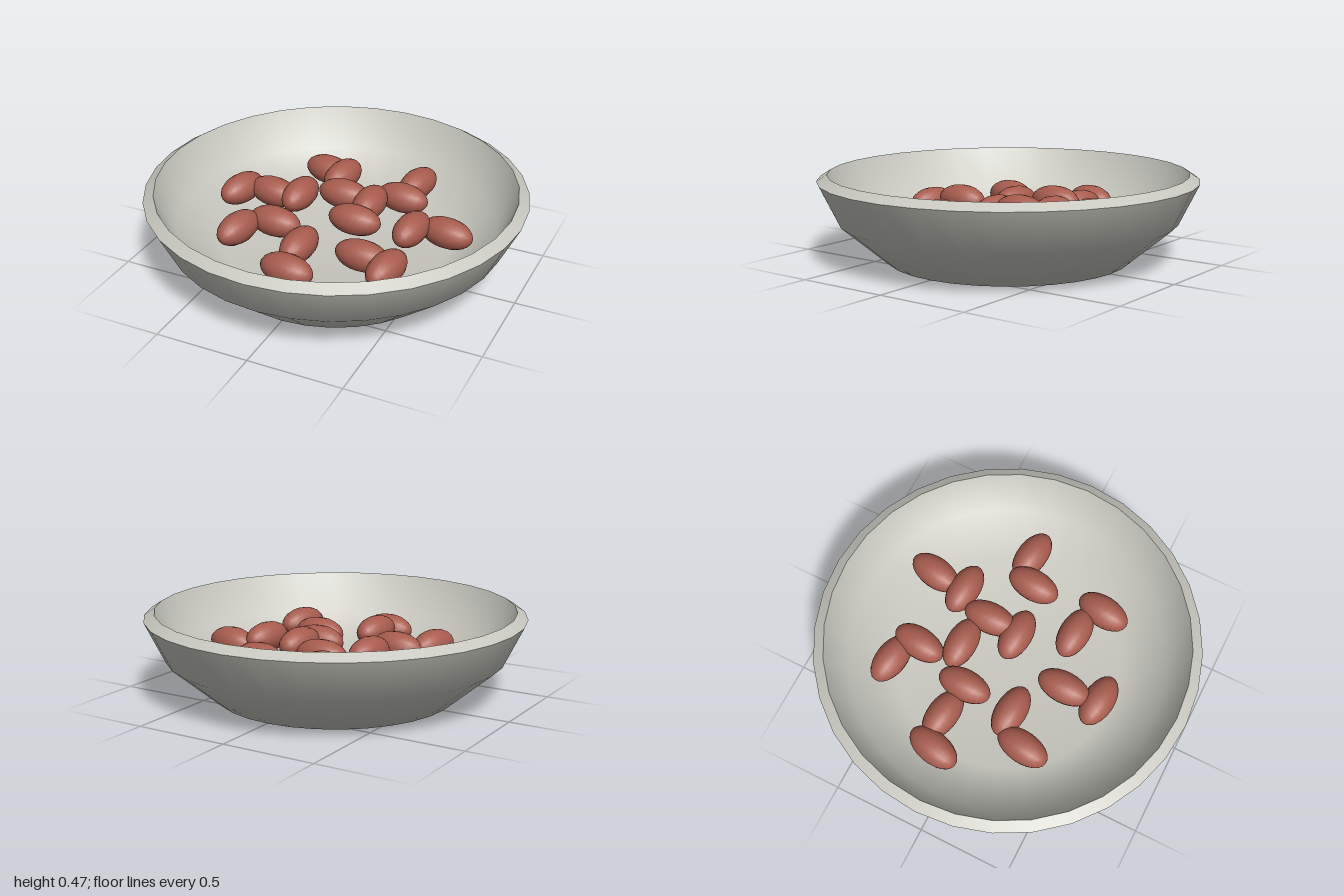
import * as THREE from 'three';

const ceramic = new THREE.MeshStandardMaterial({ color: 0xc8c8c0 });
ceramic.name = 'pale ceramic';
const beanRed = new THREE.MeshStandardMaterial({ color: 0xa85c4e });
beanRed.name = 'bean red';

// Each bean: x, y, z, turn about the vertical in degrees
const BEANS = [
  [-0.63, 0.235, -0.11, 76], [-0.45, 0.235, -0.15, -8],
  [-0.27, 0.28, -0.115, 88], [-0.28, 0.25, 0.16, -4],
  [-0.425, 0.25, 0.3, 81], [0.105, 0.27, 0.0, -2],
  [0.12, 0.29, -0.165, 90], [-0.065, 0.265, -0.24, -1],
  [0.225, 0.24, -0.375, -5], [0.24, 0.24, -0.56, 79],
  [0.405, 0.26, -0.05, 85], [0.57, 0.23, -0.14, -9],
  [-0.295, 0.22, -0.54, -9], [-0.165, 0.26, -0.44, 82],
  [-0.045, 0.27, 0.35, 88], [-0.02, 0.24, 0.54, -6],
  [0.265, 0.24, 0.265, -3], [0.435, 0.26, 0.35, 81],
];

function lathe(name, profile) {
  const points = profile.map(([r, y]) => new THREE.Vector2(r, y));
  const mesh = new THREE.Mesh(new THREE.LatheGeometry(points, 32), ceramic);
  mesh.name = name;
  return mesh;
}

export function createModel() {
  const model = new THREE.Group();
  model.name = 'bowlOfBeans';

  // Bowl in three shells so the rim keeps crisp edges
  const bowl = new THREE.Group();
  bowl.name = 'bowl';
  bowl.add(
    lathe('bowlOutside', [[0, 0], [0.64, 0], [0.895, 0.215], [1, 0.43]]),
    lathe('bowlRim', [[1, 0.43], [0.945, 0.465]]),
    lathe('bowlInside', [[0.945, 0.465], [0.84, 0.25], [0.6, 0.12], [0, 0.12]]),
  );
  model.add(bowl);

  // Beans: stretched spheres with the long axis along x before turning
  const beanShape = new THREE.SphereGeometry(1, 16, 12);
  beanShape.rotateZ(Math.PI / 2);
  beanShape.scale(0.147, 0.082, 0.084);
  const beans = new THREE.Group();
  beans.name = 'beans';
  BEANS.forEach(([x, y, z, turn], i) => {
    const bean = new THREE.Mesh(beanShape, beanRed);
    bean.name = `bean${i + 1}`;
    bean.position.set(x, y, z);
    bean.rotation.y = THREE.MathUtils.degToRad(turn);
    beans.add(bean);
  });
  model.add(beans);

  return model;
}
